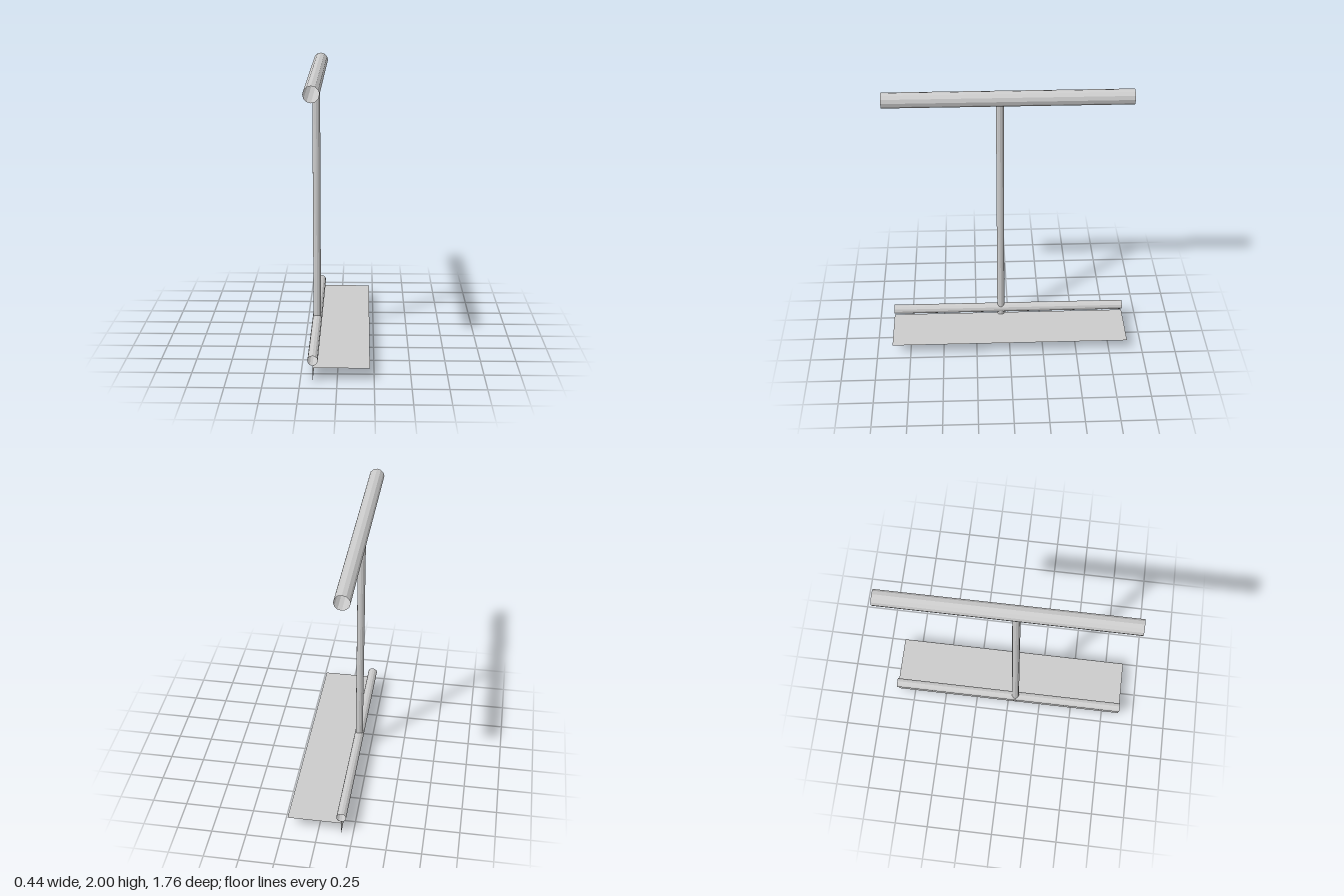
import * as THREE from 'three';

export function createModel() {
  const model = new THREE.Group();
  const steel = new THREE.MeshStandardMaterial({ color: 0xcccccc });
  steel.name = 'lightGreySteel';
  steel.flatShading = true;
  steel.side = THREE.DoubleSide; // open tubes and sheet-thin plates

  const axisX = -0.165; // shared line of post, rails and flange
  const length = 1.765;
  const deckY = 0.097;

  function add(name, geometry, x, y, z) {
    const mesh = new THREE.Mesh(geometry, steel);
    mesh.name = name;
    mesh.position.set(x, y, z);
    model.add(mesh);
  }

  // Open-ended twelve-sided pipe standing along y
  const pipe = (radius, height) => new THREE.CylinderGeometry(radius, radius, height, 12, 1, true);

  // Horizontal rails running front to back
  add('topRail', pipe(0.055, length).rotateX(Math.PI / 2), axisX, 1.945, 0);
  add('lowerRail', pipe(0.035, length).rotateX(Math.PI / 2), axisX, 0.148, 0);

  // Upright post from the deck to the middle of the top rail
  add('post', pipe(0.0275, 1.945 - deckY), axisX, (1.945 + deckY) / 2, 0.058);

  // Angle base: flat deck and downturned flange
  const deckWidth = 0.22 - axisX;
  add('deckPlate', new THREE.PlaneGeometry(deckWidth, length).rotateX(-Math.PI / 2),
    axisX + deckWidth / 2, deckY, 0);
  add('flange', new THREE.PlaneGeometry(length, deckY).rotateY(-Math.PI / 2), axisX, deckY / 2, 0);

  return model;
}
